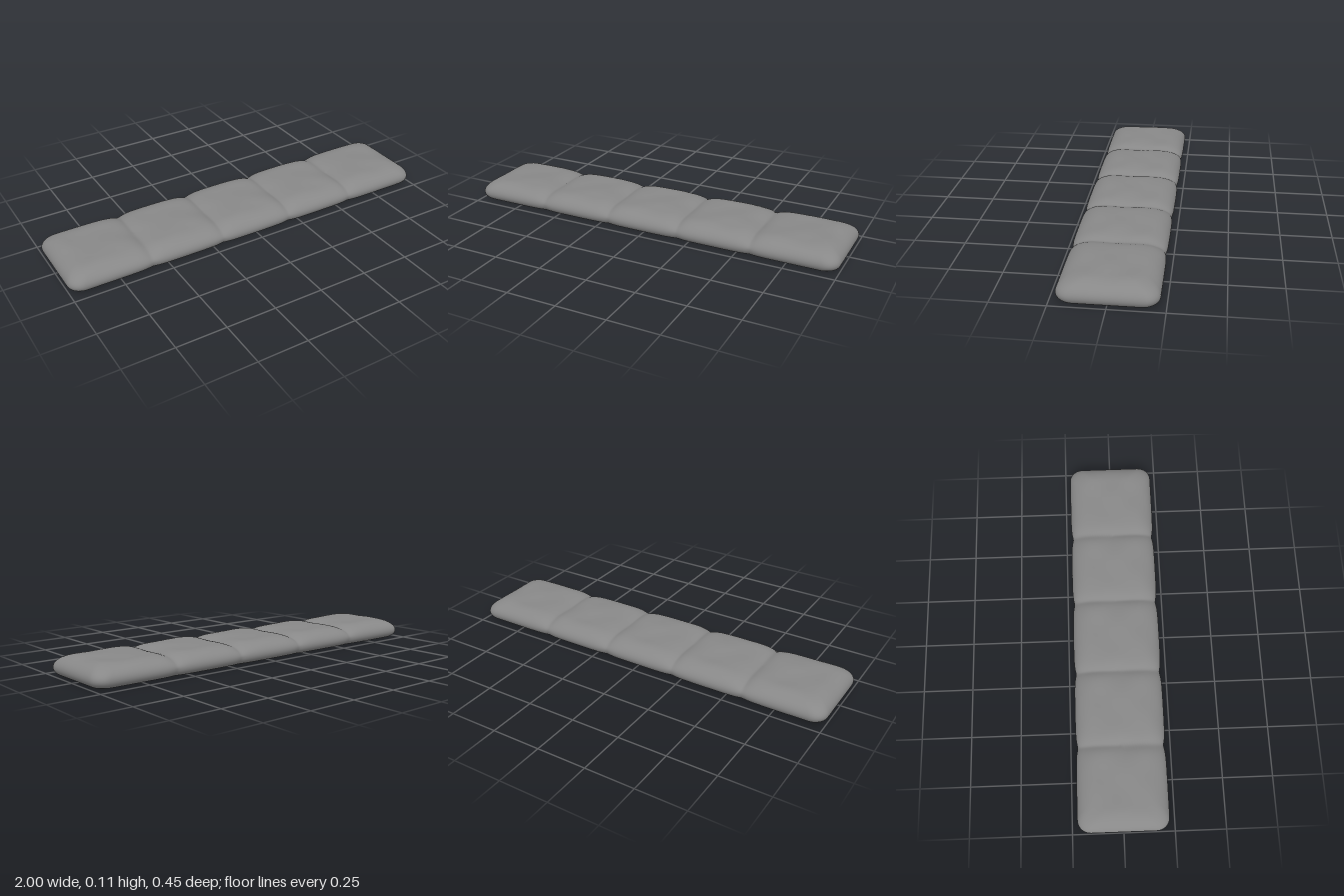
import * as THREE from 'three';
import { mergeVertices } from 'three/addons/utils/BufferGeometryUtils.js';

const HALF_X = 1, HALF_Z = 0.224, CORNER = 0.065;
const SEAMS = [-0.585, -0.2, 0.187, 0.57];

// Rounded-rectangle outline, finely divided along the long sides
function planOutline() {
  const pts = [];
  const cx = HALF_X - CORNER, cz = HALF_Z - CORNER;
  const line = (x0, z0, x1, z1, n) => {
    for (let i = 0; i < n; i++) {
      const t = i / n;
      pts.push([x0 + (x1 - x0) * t, z0 + (z1 - z0) * t]);
    }
  };
  const corner = (x, z, start, n = 8) => {
    for (let i = 0; i < n; i++) {
      const a = start + (i / n) * Math.PI / 2;
      pts.push([x + CORNER * Math.cos(a), z + CORNER * Math.sin(a)]);
    }
  };
  line(HALF_X, -cz, HALF_X, cz, 20);
  corner(cx, cz, 0);
  line(cx, HALF_Z, -cx, HALF_Z, 260);
  corner(-cx, cz, Math.PI / 2);
  line(-HALF_X, cz, -HALF_X, -cz, 20);
  corner(-cx, -cz, Math.PI);
  line(-cx, -HALF_Z, cx, -HALF_Z, 260);
  corner(cx, -cz, Math.PI * 1.5);
  return pts;
}

// Edge profile as [inset, height], from the middle of the base to the middle of the top
function edgeProfile() {
  const rows = [[HALF_Z, 0], [0.12, 0], [0.06, 0]];
  for (let i = 0; i <= 8; i++) {
    const a = (i / 8) * Math.PI / 2;
    rows.push([0.045 * (1 - Math.sin(a)), 0.04 * (1 - Math.cos(a))]);
  }
  for (let i = 1; i <= 12; i++) {
    const a = (i / 12) * Math.PI / 2;
    rows.push([0.105 * (1 - Math.cos(a)), 0.04 + 0.063 * Math.sin(a)]);
  }
  for (let i = 1; i <= 9; i++) rows.push([0.105 + (HALF_Z - 0.105) * i / 9, 0.103]);
  return rows;
}

// Pinch at the seams between the padded sections, slightly rounded at its deepest line
const groove = (x) => SEAMS.reduce((g, s) => Math.max(g, Math.exp(-(Math.hypot(x - s, 0.008) - 0.008) / 0.03)), 0);

// Shallow, soft unevenness of the padding, a little fuller towards the front
const dents = (x, z) => 0.001 * (Math.sin(17 * x + 21 * z) + Math.sin(31 * z - 16 * x + 1))
  + 0.001 * Math.sin(33 * x) * Math.cos(28 * z)
  + 0.0015 * Math.exp(-(((z - 0.07) / 0.05) ** 2));

function cushionGeometry() {
  const outline = planOutline(), rows = edgeProfile(), n = outline.length;
  const positions = [], index = [];
  rows.forEach(([inset, height], j) => {
    const top = Math.max(0, (height - 0.04) / 0.063);
    outline.forEach(([px, pz], i) => {
      const x = px * (HALF_X - inset) / HALF_X;
      const g = groove(x);
      const z = pz * (HALF_Z - inset) / HALF_Z * (1 - 0.045 * g);
      const y = height - top * 0.019 * g + top * top * dents(x, z);
      positions.push(x, y, z);
      if (j === rows.length - 1) return;
      const a = j * n + i, b = j * n + (i + 1) % n;
      index.push(a, a + n, b, b, a + n, b + n);
    });
  });
  const geometry = new THREE.BufferGeometry();
  geometry.setAttribute('position', new THREE.Float32BufferAttribute(positions, 3));
  geometry.setIndex(index);
  const welded = mergeVertices(geometry, 1e-5);
  welded.computeVertexNormals();
  return welded;
}

export function createModel() {
  const model = new THREE.Group();
  model.name = 'benchCushion';
  const cushion = new THREE.Mesh(cushionGeometry(), new THREE.MeshStandardMaterial({ color: 0x888888 }));
  cushion.name = 'paddedCushion';
  model.add(cushion);
  return model;
}
